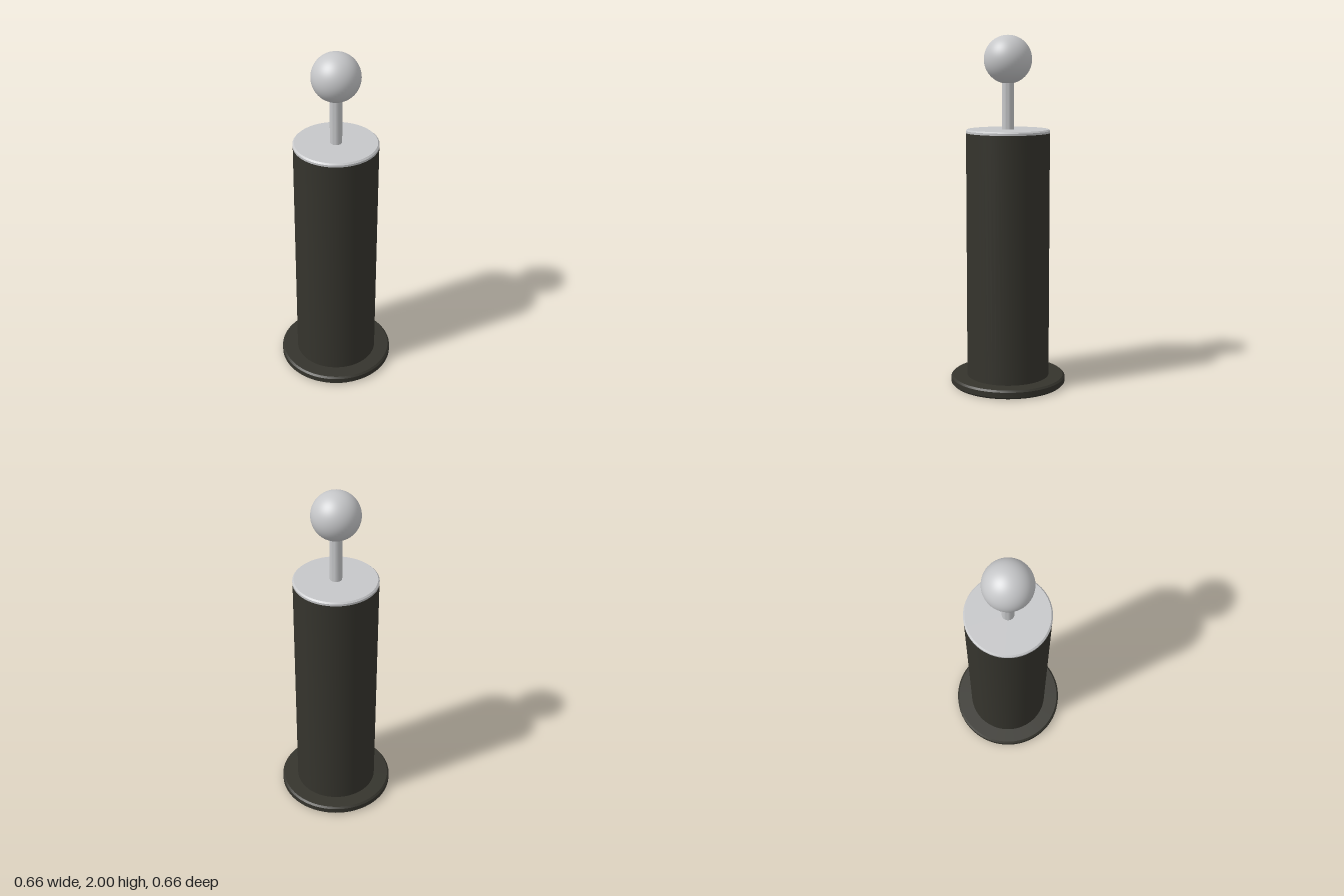
import * as THREE from 'three';
import { toCreasedNormals } from 'three/addons/utils/BufferGeometryUtils.js';

export function createModel() {
  const model = new THREE.Group();
  model.name = 'plungerPost';

  const dark = new THREE.MeshStandardMaterial({ name: 'dark olive', color: 0x35342d });
  const silver = new THREE.MeshStandardMaterial({ name: 'light grey', color: 0xc6c7c9 });

  const add = (name, geometry, material) => {
    const mesh = new THREE.Mesh(geometry, material);
    mesh.name = name;
    model.add(mesh);
    return mesh;
  };

  // Turned part: profile of [radius, height] pairs from bottom to top
  const turned = (name, profile, material, sides = 64) => {
    const points = profile.map(([r, y]) => new THREE.Vector2(r, y));
    return add(name, toCreasedNormals(new THREE.LatheGeometry(points, sides), 0.5), material);
  };

  // Wide foot disc with chamfered rims
  turned('base', [[0, 0], [0.32, 0], [0.33, 0.01], [0.33, 0.04], [0.32, 0.05], [0, 0.05]], dark);

  // Tall cylindrical body
  turned('body', [[0.237, 0.045], [0.237, 1.455]], dark);

  // Lid with a chamfered upper rim
  turned('lid', [[0, 1.455], [0.238, 1.455], [0.238, 1.467], [0.23, 1.475], [0, 1.475]], silver);

  // Rod and ball knob
  turned('rod', [[0.034, 1.47], [0.034, 1.76]], silver, 32);
  add('knob', new THREE.SphereGeometry(0.135, 48, 32), silver).position.y = 1.865;

  return model;
}
